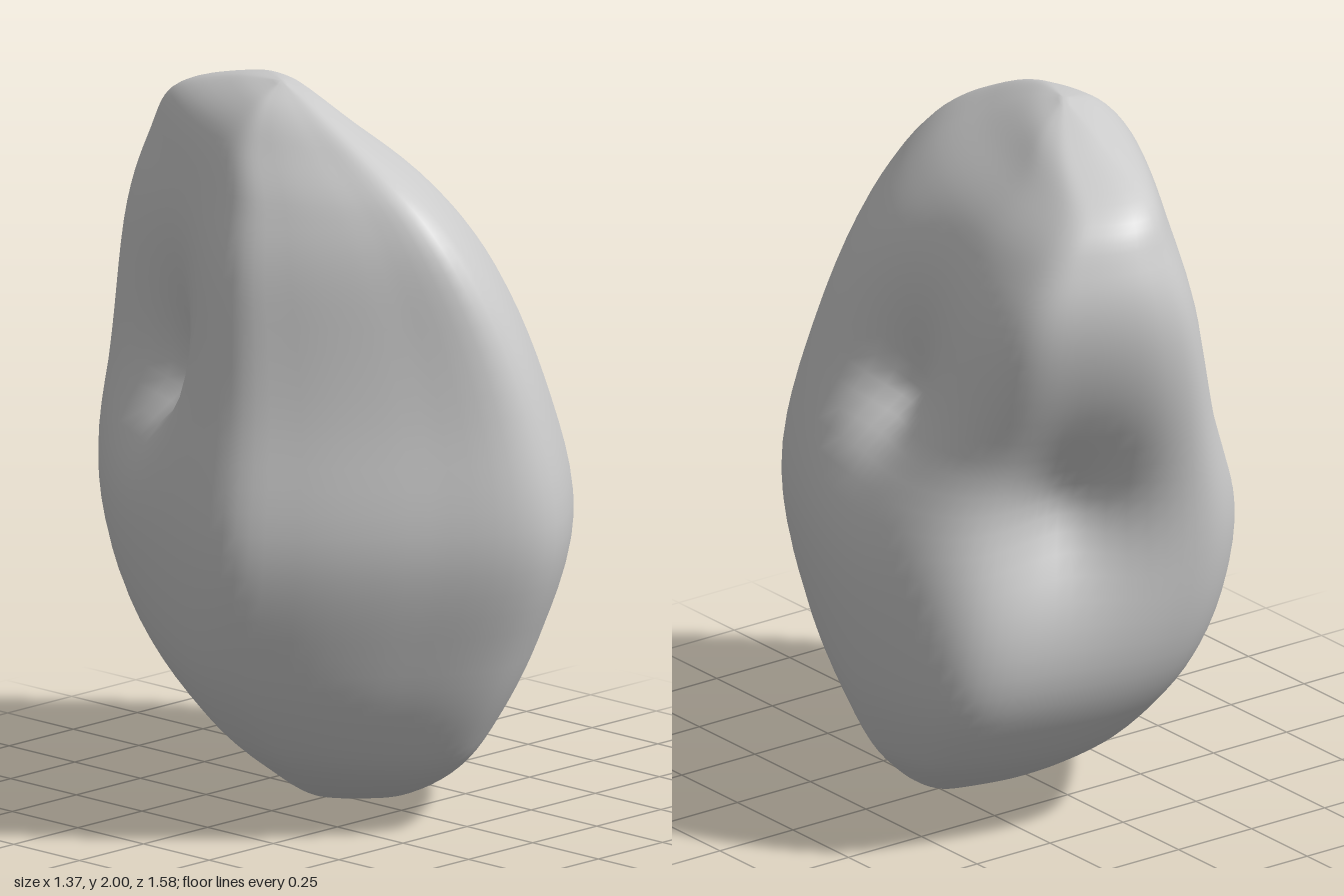
import * as THREE from 'three';
import { mergeVertices } from 'three/addons/utils/BufferGeometryUtils.js';

const AROUND = 80;
const ROWS = 64;

// Plan outline of the boulder, x and z from -1 to 1: a lopsided rounded wedge
const PLAN = [[0, 1], [0.44, 0.76], [0.75, 0.42], [0.97, -0.1], [1, -0.45], [0.84, -0.78], [0.5, -0.92],
  [0, -1], [-0.36, -0.89], [-0.78, -0.37], [-1, 0.17], [-0.83, 0.47], [-0.44, 0.79]];

// Levels from the base to the crown: height, half width, back z, front z
const LEVELS = [
  [0, 0, 0.04, 0.04],
  [0.05, 0.25, -0.15, 0.27],
  [0.15, 0.42, -0.35, 0.47],
  [0.28, 0.55, -0.52, 0.58],
  [0.5, 0.65, -0.67, 0.69],
  [0.84, 0.68, -0.76, 0.8],
  [1.2, 0.6, -0.79, 0.75],
  [1.55, 0.51, -0.8, 0.64],
  [1.75, 0.39, -0.75, 0.5],
  [1.88, 0.26, -0.66, 0.28],
  [1.96, 0.14, -0.4, 0.07],
  [2, 0, -0.14, -0.14],
];

// Hollows worn into three sides, placed relative to the middle of the boulder
const MIDDLE = new THREE.Vector3(0, 1, 0);
const HOLLOWS = [
  { toward: new THREE.Vector3(0.45, 0.28, -0.08).normalize(), depth: 0.32 },
  { toward: new THREE.Vector3(0.22, 0, -0.5).normalize(), depth: 0.28 },
  { toward: new THREE.Vector3(-0.36, 0.25, -0.32).normalize(), depth: 0.32 },
];

function smoothCurve(points, closed) {
  return new THREE.CatmullRomCurve3(points, closed, 'catmullrom', 0.5);
}

// Push a surface point inward where it lies in a hollow
function wear(point) {
  const offset = point.clone().sub(MIDDLE);
  const direction = offset.clone().normalize();
  for (const { toward, depth } of HOLLOWS) {
    offset.multiplyScalar(1 - depth * Math.exp(13 * (direction.dot(toward) - 1)));
  }
  return offset.add(MIDDLE);
}

// Loft the plan through the levels, leaning it into a diagonal ridge at the crown and base
function boulderGeometry() {
  const plan = smoothCurve(PLAN.map(([x, z]) => new THREE.Vector3(x, 0, z)), true);
  const widths = smoothCurve(LEVELS.map(([y, w]) => new THREE.Vector3(w, y, 0)), false);
  const depths = smoothCurve(LEVELS.map(([y, , back, front]) => new THREE.Vector3(back, y, front)), false);
  const positions = [];
  const index = [];

  for (let i = 0; i <= ROWS; i++) {
    const { x: width, y } = widths.getPoint(i / ROWS);
    const { x: back, z: front } = depths.getPoint(i / ROWS);
    const lean = 0.45 * ((y - 0.9) / 1.1) ** 2;
    const halfWidth = width / (1 - 0.7 * lean);
    const drift = -0.07 * (y - 1) ** 3;
    for (let j = 0; j < AROUND; j++) {
      const p = plan.getPoint(j / AROUND);
      const x = drift + halfWidth * (p.x * (1 - lean) - p.z * lean);
      const z = (front + back) / 2 + p.z * (front - back) / 2;
      positions.push(...wear(new THREE.Vector3(x, y, z)).toArray());

      const a = i * AROUND + j;
      const b = i * AROUND + (j + 1) % AROUND;
      if (i > 0 && i < ROWS) index.push(a, b, b + AROUND);
      if (i < ROWS - 1) index.push(a, b + AROUND, a + AROUND);
    }
  }

  const geometry = new THREE.BufferGeometry();
  geometry.setAttribute('position', new THREE.Float32BufferAttribute(positions, 3));
  geometry.setIndex(index);
  const merged = mergeVertices(geometry, 1e-5);
  merged.computeVertexNormals();
  return merged;
}

export function createModel() {
  const group = new THREE.Group();
  group.name = 'boulder';
  const rock = new THREE.Mesh(boulderGeometry(), new THREE.MeshStandardMaterial({ color: 0xcccccc }));
  rock.name = 'rock';
  group.add(rock);
  return group;
}
